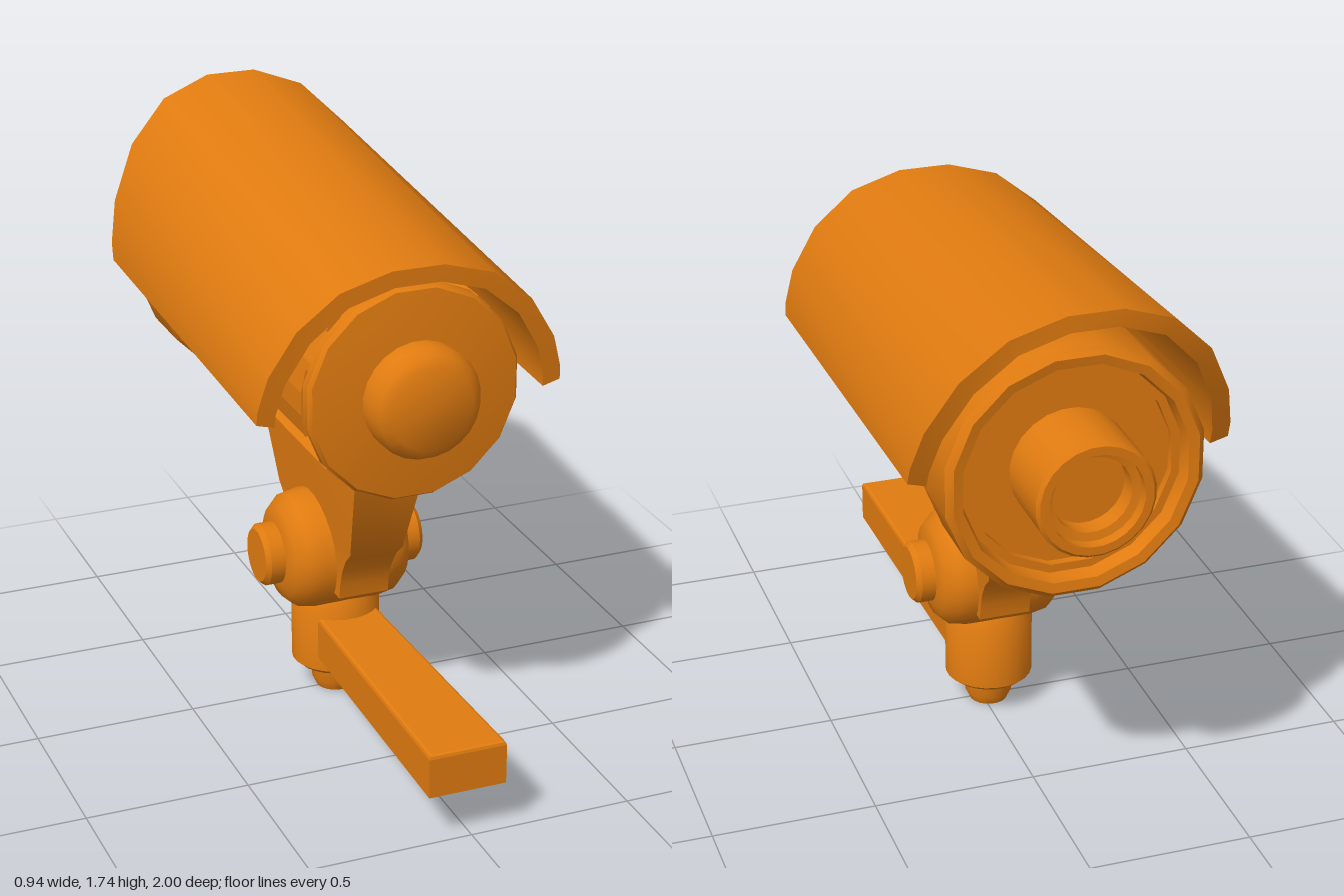
import * as THREE from 'three';
import { toCreasedNormals } from 'three/addons/utils/BufferGeometryUtils.js';

const AXIS_Y = 1.2; // height of the housing axis
const HUB_X = -0.02, HUB_Z = -0.005;
const V2 = (x, y) => new THREE.Vector2(x, y);

// Turned part from [radius, distance] pairs, revolved about y
function turned(profile, sides, crease = 0.6) {
  const geo = new THREE.LatheGeometry(profile.map(([r, d]) => V2(r, d)), sides, Math.PI / sides);
  return toCreasedNormals(geo, crease);
}
const alongZ = (profile, sides, crease) => turned(profile, sides, crease).rotateX(Math.PI / 2);
const alongX = (profile, sides, crease) => turned(profile, sides, crease).rotateZ(-Math.PI / 2);

// Skin over closed cross-section loops, capped at both ends
function loft(sections, crease = 0.6) {
  const n = sections[0].length, index = [];
  for (let s = 0; s < sections.length - 1; s++) {
    for (let i = 0; i < n; i++) {
      const a = s * n + i, b = s * n + (i + 1) % n;
      index.push(a, b, a + n, b, b + n, a + n);
    }
  }
  const end = (sections.length - 1) * n;
  for (let i = 1; i < n - 1; i++) {
    index.push(0, i + 1, i, end, end + i, end + i + 1);
  }
  const geo = new THREE.BufferGeometry();
  geo.setAttribute('position', new THREE.Float32BufferAttribute(sections.flat(2), 3));
  geo.setIndex(index);
  return toCreasedNormals(geo, crease);
}

// Housing cross-section: a circle cut by lengthwise grooves
function groovedShape() {
  const outer = 0.33, inner = 0.285, pts = [];
  const grooves = [[18, 40], [50, 72], [108, 130], [140, 162], [198, 220], [230, 252], [288, 310], [320, 342]];
  const at = (r, deg) => pts.push(V2(r * Math.cos(deg * Math.PI / 180), r * Math.sin(deg * Math.PI / 180)));
  grooves.forEach(([a, b], i) => {
    at(outer, a); at(inner, a); at(inner, b); at(outer, b);
    const next = i < grooves.length - 1 ? grooves[i + 1][0] : 378;
    if (next - b > 20) [1, 2].forEach(k => at(outer, b + (next - b) * k / 3));
  });
  return new THREE.Shape(pts);
}

// Sun hood: each section is one step of the arch, from the right tip over the top to the left
function hoodGeometry() {
  const half = [[0.47, 0], [0.468, 0.1], [0.44, 0.34], [0.36, 0.65], [0.235, 0.89], [0.08, 1]];
  const arch = [...half.map(([x, t]) => [-x, t]), ...half.slice().reverse()];
  return loft(arch.map(([x, t]) => {
    const zf = 0.53 + 0.045 * t, zb = -0.78 - 0.18 * t;
    const yf = 1.165 + 0.42 * t, yb = 1.22 + 0.52 * t;
    const drop = 0.015 + 0.035 * t, xi = x * 0.885;
    return [[x, yb, zb], [x, yf, zf], [xi, yf - drop, zf], [xi, yb - drop, zb]];
  }), 0.7);
}

// Outline of the arm in plan, inset by m on all sides
function armOutline(m, Type) {
  return new Type([V2(-0.1 + m, 0.08 + m), V2(0.08 - m, 0.08 + m), V2(0.1 - m, 0.99 - m), V2(-0.12 + m, 0.99 - m)]);
}

export function createModel() {
  const model = new THREE.Group();
  const material = new THREE.MeshStandardMaterial({ color: 0xe07b10 });
  const add = (name, geometry, x = 0, y = 0, z = 0, parent = model) => {
    const mesh = new THREE.Mesh(geometry, material);
    mesh.name = name;
    mesh.position.set(x, y, z);
    parent.add(mesh);
    return mesh;
  };

  // Housing with its grooved barrel, end plate and knob
  const housing = new THREE.Group();
  housing.name = 'housing';
  housing.position.y = AXIS_Y;
  model.add(housing);
  const barrel = new THREE.ExtrudeGeometry(groovedShape(), { depth: 1.14, bevelEnabled: false });
  add('groovedBarrel', barrel, 0, 0, -0.63, housing);
  add('endPlate', alongZ([[0, 0.5], [0.315, 0.5], [0.33, 0.515], [0.33, 0.545], [0.32, 0.56], [0.17, 0.58], [0, 0.58]], 16, 0.5), 0, 0, 0, housing);
  add('endKnob', alongZ([[0.17, 0.56], [0.17, 0.635], [0.155, 0.665], [0.125, 0.685], [0, 0.685]], 24, 0.7), 0, 0, 0, housing);

  // Recessed collar around the lens
  add('lensCollar', alongZ([
    [0, -0.77], [0.3, -0.77], [0.3, -0.795], [0.325, -0.795], [0.335, -0.84], [0.365, -0.845],
    [0.385, -0.825], [0.385, -0.62], [0.375, -0.6], [0, -0.6],
  ], 16, 0.5), 0, 0, 0, housing);
  add('lensTube', alongZ([
    [0, -0.9], [0.115, -0.9], [0.115, -0.96], [0.14, -0.965], [0.14, -1], [0.165, -1],
    [0.175, -0.99], [0.175, -0.76],
  ], 24, 0.5), 0, 0, 0, housing);

  add('sunHood', hoodGeometry());

  // Bracket that narrows down to the hub: [y, half depth, half width]
  const steps = [[0.4, 0.2, 0.08], [0.45, 0.207, 0.08], [0.5, 0.225, 0.081], [0.55, 0.257, 0.083],
    [0.59, 0.3, 0.085], [0.92, 0.415, 0.115], [0.98, 0.415, 0.115]];
  add('bracket', loft(steps.map(([y, d, w]) => [[-w, y, d], [w, y, d], [w, y, -d], [-w, y, -d]])), -0.008);

  // Pivot hub with a bolt through it
  add('pivotHub', alongX([
    [0, -0.2], [0.1, -0.2], [0.145, -0.187], [0.177, -0.152], [0.187, -0.1],
    [0.187, 0.1], [0.177, 0.152], [0.145, 0.187], [0.1, 0.2], [0, 0.2],
  ], 24, 0.7), HUB_X, 0.49, HUB_Z);
  add('pivotBolt', alongX([
    [0, -0.26], [0.083, -0.26], [0.097, -0.245], [0.097, 0.245], [0.083, 0.26], [0, 0.26],
  ], 24), HUB_X, 0.49, HUB_Z);

  // Post and foot pin
  add('post', turned([[0, 0.09], [0.12, 0.09], [0.137, 0.105], [0.137, 0.31], [0.11, 0.355], [0, 0.355]], 24), HUB_X, 0, HUB_Z);
  add('footPin', turned([[0, 0], [0.06, 0], [0.074, 0.03], [0.074, 0.1]], 20), HUB_X, 0, HUB_Z);

  // Arm, hollow from below
  const arm = new THREE.Group();
  arm.name = 'arm';
  model.add(arm);
  const rounded = { bevelEnabled: true, bevelThickness: 0.012, bevelSize: 0.01, bevelSegments: 2 };
  const top = new THREE.ExtrudeGeometry(armOutline(0, THREE.Shape), { ...rounded, depth: 0.03 });
  add('armTop', top.rotateX(Math.PI / 2), -0.005, 0.273, 0, arm);
  const rim = armOutline(-0.01, THREE.Shape);
  rim.holes.push(armOutline(0.022, THREE.Path));
  const walls = new THREE.ExtrudeGeometry(rim, { depth: 0.1, bevelEnabled: false });
  add('armWalls', walls.rotateX(Math.PI / 2), -0.005, 0.25, 0, arm);

  return model;
}
